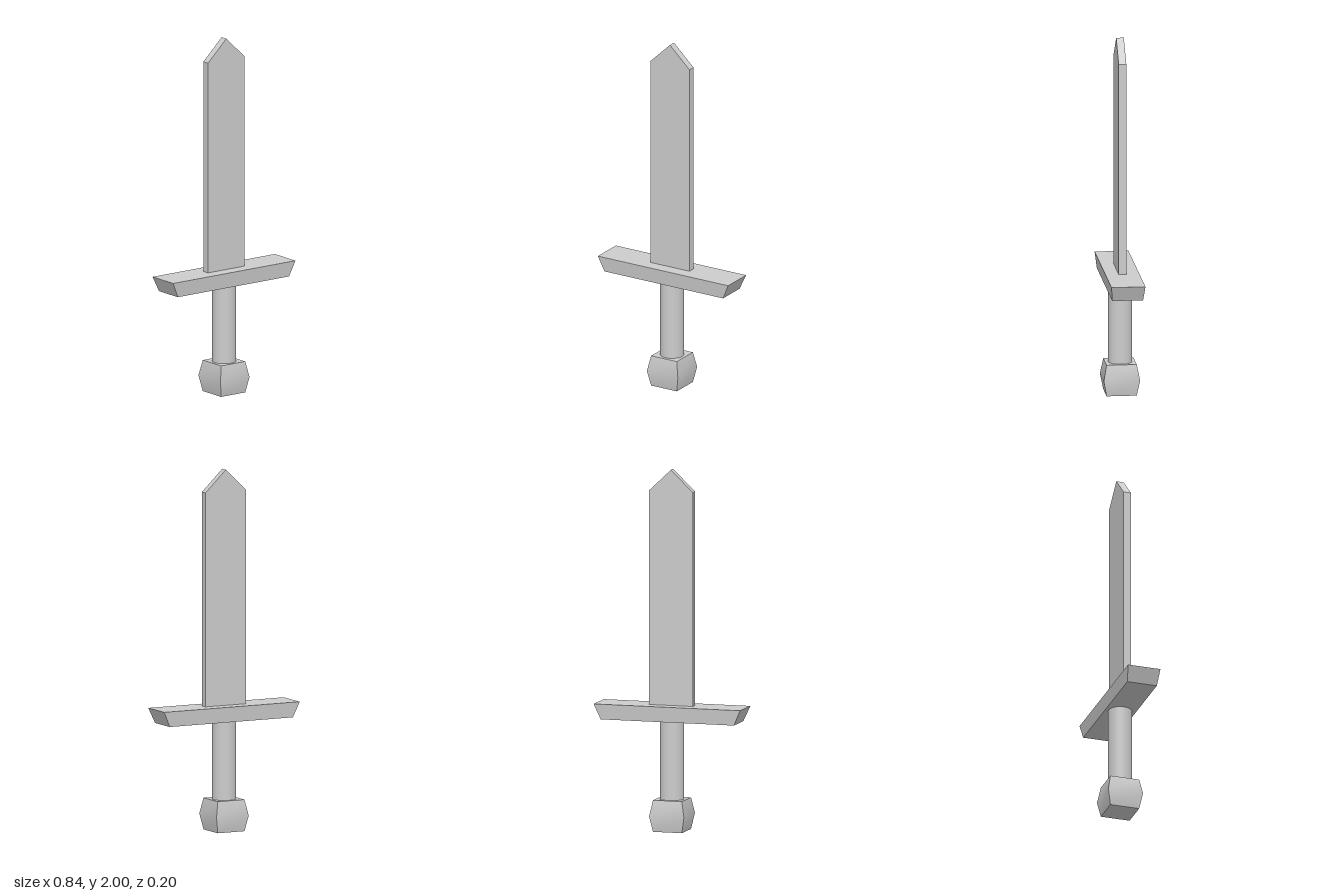
import * as THREE from 'three';

const steel = new THREE.MeshStandardMaterial({ color: 0xcccccc });
steel.name = 'grey steel';

// Box whose vertices are rescaled in x and z by a rule of height t (-1 bottom, 1 top)
function shapedBox(w, h, d, rows, rule) {
  const geo = new THREE.BoxGeometry(w, h, d, 1, rows, 1);
  const p = geo.attributes.position;
  for (let i = 0; i < p.count; i++) {
    const [sx, sz] = rule(p.getY(i) / (h / 2));
    p.setX(i, p.getX(i) * sx);
    p.setZ(i, p.getZ(i) * sz);
  }
  geo.computeVertexNormals();
  return geo;
}

export function createModel() {
  const sword = new THREE.Group();
  sword.name = 'sword';

  const add = (name, geo, y) => {
    const mesh = new THREE.Mesh(geo, steel);
    mesh.name = name;
    mesh.position.y = y;
    sword.add(mesh);
  };

  // Pommel: square block bulging at mid height
  add('pommel', shapedBox(0.2, 0.175, 0.2, 2, (t) => {
    const s = 1 - 0.17 * Math.abs(t);
    return [s, s];
  }), 0.0875);

  // Grip: round handle
  add('grip', new THREE.CylinderGeometry(0.067, 0.067, 0.46, 32), 0.39);

  // Crossguard: bar tapering towards its underside
  add('crossguard', shapedBox(0.842, 0.085, 0.187, 1, (t) =>
    (t < 0 ? [0.91, 0.91] : [1, 1])), 0.6525);

  // Blade: flat plate with a pointed tip
  const outline = new THREE.Shape([
    [-0.126, 0], [0.126, 0], [0.126, 1.19], [0, 1.31], [-0.126, 1.19],
  ].map(([x, y]) => new THREE.Vector2(x, y)));
  const blade = new THREE.ExtrudeGeometry(outline, { depth: 0.042, bevelEnabled: false });
  blade.translate(0, 0, -0.021);
  add('blade', blade, 0.69);

  return sword;
}
